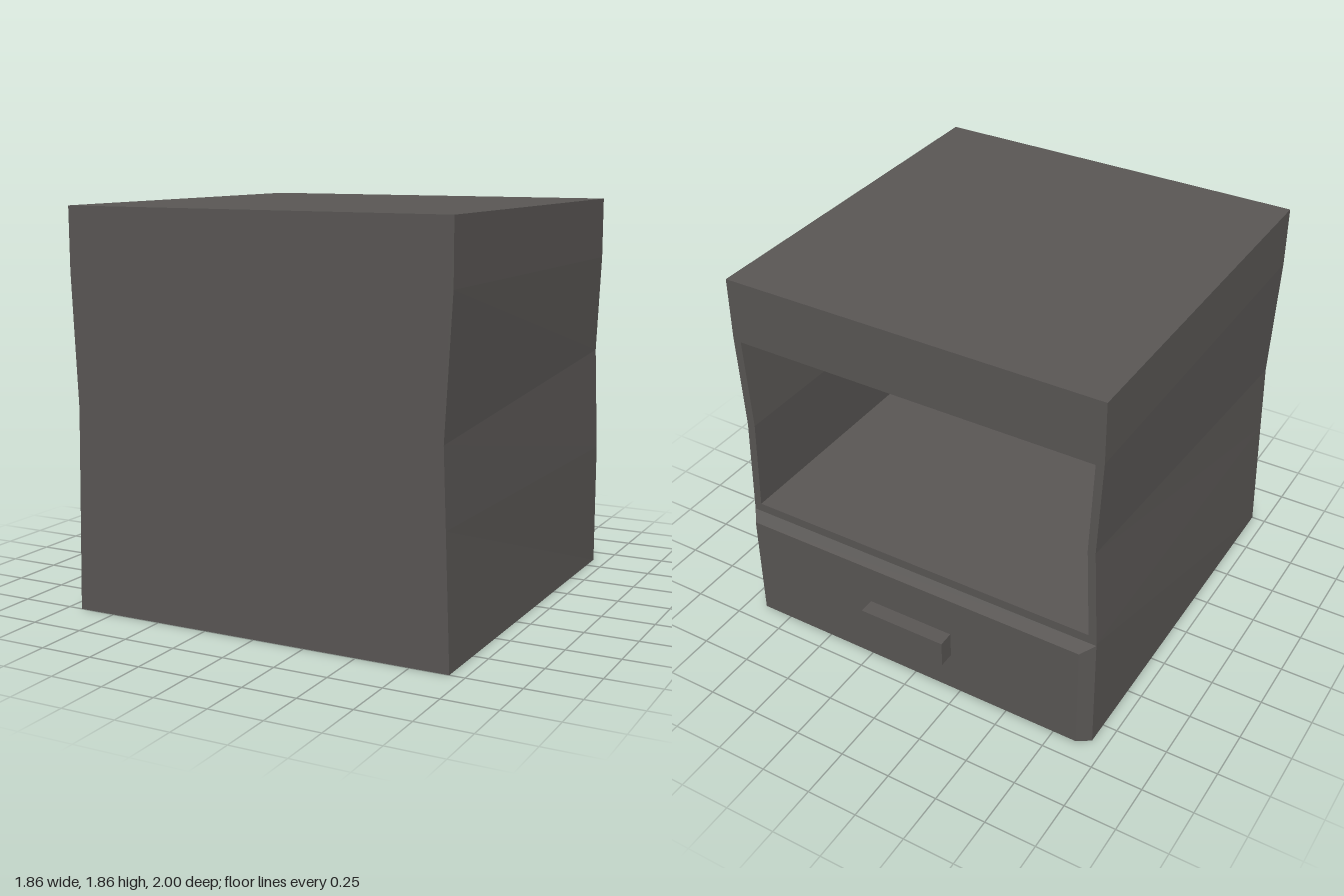
import * as THREE from 'three';

const Z_OPEN = -0.86, Z_FRONT = 1, Z_INNER = 0.95;

const v2 = (pts) => pts.map(([x, y]) => new THREE.Vector2(x, y));

// Closed band of flat quads between two rings (counter-clockwise seen from +z)
function band(ringA, zA, ringB, zB) {
  const pos = [];
  ringA.forEach((p, i) => {
    const j = (i + 1) % ringA.length;
    const a = [...ringA[i], zA], b = [...ringA[j], zA];
    const c = [...ringB[j], zB], d = [...ringB[i], zB];
    pos.push(...a, ...b, ...c, ...a, ...c, ...d);
  });
  const geo = new THREE.BufferGeometry();
  geo.setAttribute('position', new THREE.Float32BufferAttribute(pos, 3));
  geo.computeVertexNormals();
  return geo;
}

// Flat panel at depth z, facing +z or (flipped) -z, with an optional opening
function panel(ring, z, flip = false, hole = null) {
  const shape = new THREE.Shape(v2(ring));
  if (hole) shape.holes.push(new THREE.Path(v2(hole)));
  const geo = new THREE.ShapeGeometry(shape);
  geo.translate(0, 0, z);
  if (flip) {
    geo.setIndex(Array.from(geo.index.array).reverse());
    geo.computeVertexNormals();
  }
  return geo;
}

// Ring from the +x profile going up and the -x profile going down
const ringOf = (right, left) =>
  [...right, ...left.map(([x, y]) => [-x, y]).reverse()];

const rect = (w, y0, y1) => [[w, y0], [w, y1], [-w, y1], [-w, y0]];

export function createModel() {
  const group = new THREE.Group();
  const wood = new THREE.MeshStandardMaterial({ color: 0x5a5755, flatShading: true });
  wood.name = 'darkGreyWood';
  const add = (name, geo) => {
    const mesh = new THREE.Mesh(geo, wood);
    mesh.name = name;
    group.add(mesh);
    return mesh;
  };

  // Cabinet outlines, slightly pinched at the waist
  const openRing = ringOf(
    [[0.93, 0], [0.93, 0.6], [0.91, 1.1], [0.93, 1.57], [0.93, 1.86]],
    [[0.93, 0], [0.93, 0.6], [0.907, 1.1], [0.93, 1.57], [0.93, 1.86]]);
  const closedRing = ringOf(
    [[0.93, 0], [0.908, 0.6], [0.895, 0.95], [0.93, 1.57], [0.93, 1.86]],
    [[0.93, 0], [0.914, 0.6], [0.905, 0.95], [0.93, 1.57], [0.93, 1.86]]);

  // Shelf opening follows the pinched sides
  const inner = [[0.89, 0.635], [0.87, 1.1], [0.89, 1.55]];
  const holeRing = ringOf(inner, inner);

  add('cabinetShell', band(openRing, Z_OPEN, closedRing, Z_FRONT));
  add('closedPanel', panel(closedRing, Z_FRONT));
  add('openingFrame', panel(openRing, Z_OPEN, true, holeRing));

  // Shelf compartment
  const inward = [...holeRing].reverse();
  add('shelfLining', band(inward, Z_OPEN, inward, Z_INNER));
  add('shelfEndWall', panel(holeRing, Z_INNER, true));

  // Drawer front with bevelled edges
  const drawerFace = rect(0.88, 0.03, 0.57);
  add('drawerBevel', band(drawerFace, -0.925, rect(0.93, 0, 0.59), Z_OPEN));
  add('drawerFace', panel(drawerFace, -0.925, true));

  // Drawer handle
  add('drawerHandle', new THREE.BoxGeometry(0.44, 0.13, 0.08)).position.set(0, 0.303, -0.96);

  return group;
}
